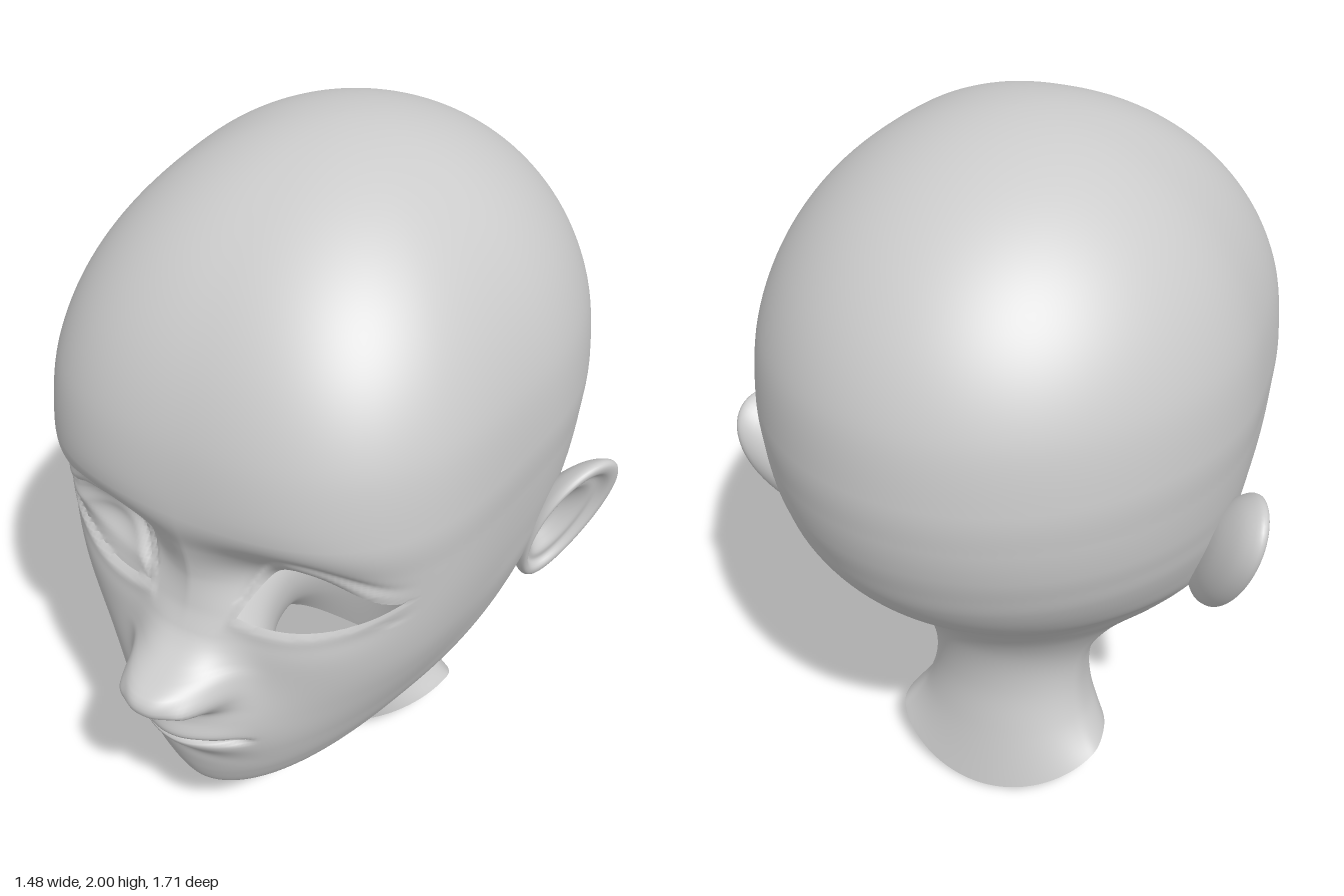
import * as THREE from 'three';
import { mergeVertices } from 'three/addons/utils/BufferGeometryUtils.js';

const material = new THREE.MeshStandardMaterial({ color: 0xcccccc, side: THREE.DoubleSide });
const bell = (d, s) => Math.exp(-((d / s) ** 2));
const step = THREE.MathUtils.smoothstep;
const spline = (a, b, c, d, t) =>
  b + 0.5 * t * (c - a + t * (2 * a - 5 * b + 4 * c - d + t * (3 * (b - c) + d - a)));

// Tilted rings from neck to brow:
// front z, front y, back z, back y, half width, side z, side y, front roundness
const rings = [
  [0.04, 0.05, -0.42, 0.005, 0.31, -0.25, 0.12, 2],
  [0.04, 0.05, -0.42, 0.005, 0.31, -0.25, 0.12, 2],
  [0.075, 0.18, -0.38, 0.2, 0.25, -0.2, 0.2, 2],
  [0.12, 0.26, -0.36, 0.34, 0.225, -0.17, 0.3, 2],
  [0.2, 0.31, -0.37, 0.46, 0.24, -0.15, 0.4, 2],
  [0.35, 0.32, -0.41, 0.56, 0.31, -0.13, 0.5, 1.9],
  [0.5, 0.29, -0.49, 0.67, 0.42, -0.12, 0.6, 1.78],
  [0.6, 0.295, -0.57, 0.755, 0.5, -0.12, 0.69, 1.76],
  [0.65, 0.38, -0.66, 0.835, 0.545, -0.12, 0.76, 1.82],
  [0.66, 0.5, -0.73, 0.915, 0.575, -0.12, 0.84, 2],
  [0.645, 0.65, -0.78, 0.995, 0.6, -0.12, 0.925, 2.35],
  [0.63, 0.82, -0.81, 1.07, 0.613, -0.12, 1.0, 2.8],
  [0.63, 1.0, -0.833, 1.145, 0.625, -0.12, 1.08, 3.05],
  [0.645, 1.14, -0.848, 1.235, 0.636, -0.12, 1.19, 3],
];
// Skull: elliptical arcs from brow to crown, one ring past the pole to end the spline
for (let k = 0; k <= 7; k++) {
  const c = Math.cos((k * Math.PI) / 12), s = Math.sin((k * Math.PI) / 12);
  rings.push([-0.1 + 0.765 * c, 1.26 + 0.74 * s, -0.1 - 0.752 * c, 1.35 + 0.65 * s,
    0.643 * c, -0.1 - 0.02 * c, 1.32 + 0.68 * s, 2 + 0.88 * Math.max(c, 0)]);
}

// Nose height along the middle of the face, as [y, height]
const nose = [[0.65, 0], [0.69, 0.025], [0.725, 0.11], [0.75, 0.165], [0.778, 0.188],
  [0.805, 0.178], [0.83, 0.112], [0.86, 0.065], [0.89, 0.037], [0.95, 0.012], [1.04, 0]];
function noseHeight(y) {
  if (y <= nose[0][0] || y >= nose.at(-1)[0]) return 0;
  const i = nose.findIndex((p) => p[0] > y);
  const [a, b] = [nose[i - 1], nose[i]];
  const before = nose[i - 2] ?? a, after = nose[i + 1] ?? b;
  return spline(before[1], a[1], b[1], after[1], (y - a[0]) / (b[0] - a[0]));
}

// Signed rule for the eye opening: negative inside
function eye(x, y) {
  const u = (x - 0.135) / 0.38, line = 0.96 + 0.105 * u, bow = u * (1 - u);
  return Math.max(line - 0.2 * bow - y, y - line - 0.51 * bow * (1 + 0.65 * (1 - 2 * u)));
}

// Forward relief of the face at (x, y)
function relief(x, y, side) {
  const f = eye(x, y);
  let d = noseHeight(y) * Math.exp(-((x / 0.128) ** 2.9));
  d += 0.04 * bell(x - 0.11, 0.036) * bell(y - 0.757, 0.034);            // nostril wings
  d -= 0.03 * bell(x - 0.055, 0.024) * bell(y - 0.712, 0.016);           // nostrils
  d += 0.1 * bell(x, 0.175) * bell(y - 0.635, 0.13);                     // muzzle
  const mouth = 1 - step(x, 0.1, 0.215);
  d -= 0.024 * (1 - step(x, 0.15, 0.21)) * bell(y - 0.58, 0.009);        // mouth line
  d += mouth * (0.007 * bell(y - 0.605, 0.022) + 0.007 * bell(y - 0.548, 0.026));
  d -= 0.008 * bell(x, 0.13) * bell(y - 0.485, 0.03);                    // dip under the lip
  d -= 0.11 * bell(x - 0.26, 0.18) * bell(y - 1.07, 0.11);               // eye socket
  const near = step(x, 0.05, 0.15) * (1 - step(x, 0.44, 0.55));
  d += near * 0.009 * bell(f - 0.012, 0.025);                            // lids
  if (y > 1) d -= near * 0.008 * bell(f - 0.048, 0.016);                 // lid fold
  if (side < 0) d += 0.022 * step(-f, 0, 0.06) - near * 0.008 * bell(f, 0.012); // closed eye
  return d;
}

function headGeometry() {
  const columns = 220, position = [], index = [], inside = [];
  let rows = 0;
  const addRow = (k, t) => {
    const [fz, fy, bz, by, w, sz, sy, nf] = rings[k].map((v, c) =>
      spline(rings[k - 1][c], v, rings[k + 1][c], (rings[k + 2] ?? rings[k + 1])[c], t));
    for (let j = 0; j < columns; j++) {
      // columns gather towards the face
      const tau = (j / columns) * Math.PI * 2, a = tau - 0.5 * Math.sin(tau);
      const s = Math.sin(a), co = Math.cos(a), n = 2 + (nf - 2) * step(co, 0, 0.6);
      const r = (Math.abs(s) ** n + Math.abs(co) ** n) ** (-1 / n), c = r * co;
      let x = w * r * s;
      let z = sz + c * THREE.MathUtils.lerp(sz - bz, fz - sz, step(c, -0.35, 0.35));
      let y = sy + ((fy - by) / 2) * c + ((fy + by) / 2 - sy) * c * c;
      const side = Math.sign(x);
      let f = 1;
      if (c > 0 && z > 0.15) {
        // pull vertices near the eye rim onto it
        let X = Math.abs(x);
        const e = 1e-4;
        f = eye(X, y);
        const gx = (eye(X + e, y) - f) / e, gy = (eye(X, y + e) - f) / e, g2 = gx * gx + gy * gy;
        if (Math.abs(f) / Math.sqrt(g2) < 0.0068) {
          X -= (f * gx) / g2;
          y -= (f * gy) / g2;
          x = X * side;
          f = 0;
        }
        z += relief(X, y, side) * step(z, 0.15, 0.4);
      }
      position.push(x, y, z);
      inside.push(side > 0 && f < 1e-6);
    }
    rows++;
  };
  for (let k = 1; k < rings.length - 2; k++) {
    const n = k > 5 && k < 14 ? 18 : 8;
    for (let i = 0; i < n; i++) addRow(k, i / n);
  }
  addRow(rings.length - 3, 1);
  // the left eye is open: leave out its faces
  const face = (...v) => {
    if (!v.every((i) => inside[i])) index.push(...v);
  };
  for (let i = 0; i < rows - 1; i++) {
    for (let j = 0; j < columns; j++) {
      const a = i * columns + j, b = i * columns + ((j + 1) % columns);
      face(a, b, b + columns);
      face(a, b + columns, a + columns);
    }
  }
  const g = new THREE.BufferGeometry();
  g.setAttribute('position', new THREE.Float32BufferAttribute(position, 3));
  g.setIndex(index);
  g.computeVertexNormals();
  return g;
}

// Dished ear: a turned profile stretched onto a slanted, egg-shaped frame, its hollow moved forward
function earGeometry() {
  const profile = new THREE.SplineCurve([[0, -0.09], [0.5, -0.075], [0.85, -0.04], [1, 0], [0.97, 0.024],
    [0.85, 0.026], [0.74, 0.008], [0.6, 0.004], [0.45, -0.016], [0.3, -0.036], [0.15, -0.042], [0, -0.044],
  ].map((p) => new THREE.Vector2(...p)));
  let g = new THREE.LatheGeometry(profile.getPoints(44), 56);
  g.deleteAttribute('normal');
  g.deleteAttribute('uv');
  const p = g.attributes.position;
  const back = new THREE.Vector3(0.4, 0, -0.92), out = new THREE.Vector3(0.92, 0, 0.4);
  const up = new THREE.Vector3(0.27, 1, 0), v = new THREE.Vector3();
  for (let i = 0; i < p.count; i++) {
    const h = -p.getZ(i), hollow = 1 - Math.min(1, Math.hypot(h, p.getX(i)));
    const w = p.getX(i) - 0.3 * hollow;
    v.set(0.634, 0.925, -0.228)
      .addScaledVector(back, 0.13 * w * (1 + 0.2 * h) + 0.03 * h)
      .addScaledVector(up, 0.197 * h)
      .addScaledVector(out, p.getY(i));
    p.setXYZ(i, v.x, v.y, v.z);
  }
  g = mergeVertices(g, 1e-5);
  g.computeVertexNormals();
  return g;
}

export function createModel() {
  const model = new THREE.Group();
  model.name = 'headBust';
  const add = (name, geometry) => {
    const mesh = new THREE.Mesh(geometry, material);
    mesh.name = name;
    model.add(mesh);
    return mesh;
  };
  add('headAndNeck', headGeometry());
  const ear = earGeometry();
  add('leftEar', ear);
  add('rightEar', ear).scale.x = -1;
  return model;
}
